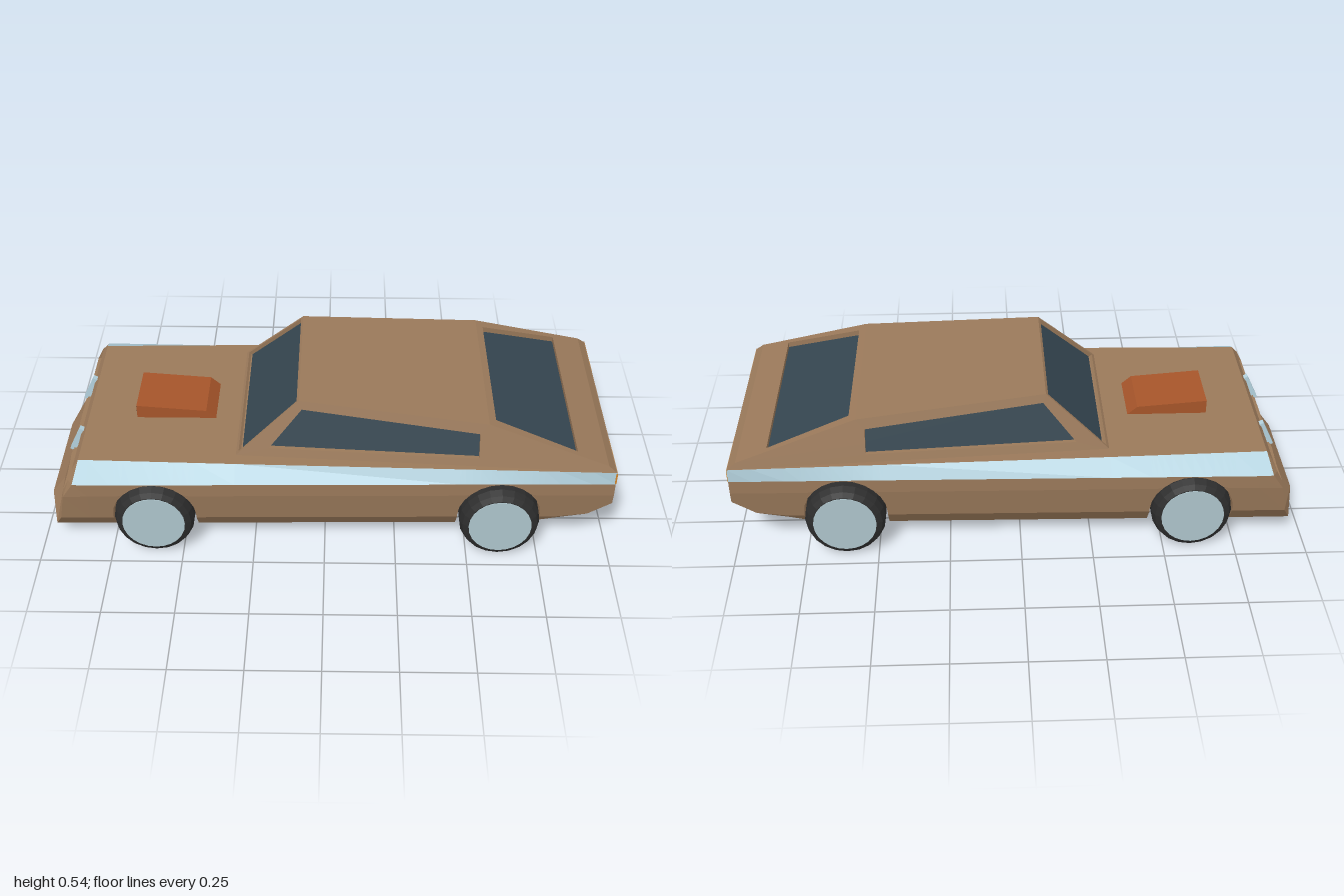
import * as THREE from 'three';

const mat = (name, color, side = THREE.FrontSide) => {
  const m = new THREE.MeshStandardMaterial({ color, side });
  m.name = name;
  return m;
};

// Flat-faced geometry from a list of convex polygons
function polyGeometry(polys) {
  const pos = [];
  for (const p of polys)
    for (let i = 1; i < p.length - 1; i++) pos.push(...p[0], ...p[i], ...p[i + 1]);
  const g = new THREE.BufferGeometry();
  g.setAttribute('position', new THREE.Float32BufferAttribute(pos, 3));
  g.computeVertexNormals();
  return g;
}

const mirror = (pts) => pts.map(([x, y, z]) => [x, y, -z]).reverse();
const lerp = THREE.MathUtils.lerp;

export function createModel() {
  const car = new THREE.Group();
  car.name = 'car';
  const paint = mat('brown paint', 0x9a795a, THREE.DoubleSide);
  const stripe = mat('pale blue stripe', 0xb4d2de, THREE.DoubleSide);
  const glass = mat('dark glass', 0x34454f, THREE.DoubleSide);
  const black = mat('grille black', 0x252525, THREE.DoubleSide);
  const rubber = mat('tyre rubber', 0x2d2d2d);
  const hubPaint = mat('hub grey blue', 0xadc4cb);
  const rust = mat('scoop rust', 0xa6552a);
  const amber = mat('tail light amber', 0xd0852c);

  const add = (name, geometry, material, parent = car) => {
    const m = new THREE.Mesh(geometry, material);
    m.name = name;
    parent.add(m);
    return m;
  };

  // Frame around a recessed pane; both rings run counter-clockwise
  function panel(name, outer, inner, recess, paneMat) {
    const deep = inner.map((p) => p.map((v, k) => v + recess[k]));
    const polys = [];
    outer.forEach((_, i) => {
      const j = (i + 1) % outer.length;
      polys.push([outer[i], outer[j], inner[j], inner[i]]);
      polys.push([inner[i], inner[j], deep[j], deep[i]]);
    });
    add(name + 'Frame', polyGeometry(polys), paint);
    add(name + 'Pane', polyGeometry([deep]), paneMat);
  }

  // ---- Lower body: cross-sections along x, with full-width wheel arches ----
  const wheelX = [-0.595, 0.61], axleY = 0.143, archR = 0.145, floorY = 0.065;
  const widest = (x) => lerp(0.435, 0.4, (x + 0.9) / 1.9);
  const beltZ = (x) => lerp(0.35, 0.4, (x + 0.85) / 1.85);
  const beltY = (x) => (x < -0.31 ? 0.335 : lerp(0.335, 0.34, (x + 0.31) / 1.31));
  const tuck = (y) => (y > 0.24 ? 0 : y > 0.13 ? 0.015 * (0.24 - y) / 0.11 : lerp(0.015, 0.06, (0.13 - y) / 0.065));
  const ring = (half) => [...half, ...mirror(half)];
  const section = (x, bottom) => ring([
    [x, beltY(x), beltZ(x)],
    ...[0.29, 0.24, 0.13, floorY].map((l) => {
      const y = Math.max(l, bottom);
      return [x, y, widest(x) - tuck(y)];
    }),
  ]);
  const noseHalf = [
    [-0.855, 0.335, 0.35], [-0.868, 0.29, 0.432], [-0.905, 0.235, 0.432],
    [-0.925, 0.13, 0.42], [-0.955, floorY, 0.375],
  ];
  const stations = [ring(noseHalf), section(-0.82, floorY)];
  wheelX.forEach((cx, k) => {
    stations.push(section(cx - archR, floorY));
    for (let i = 0; i <= 12; i++) {
      const a = Math.PI * (1 - i / 12);
      stations.push(section(cx + archR * Math.cos(a), axleY + archR * Math.sin(a)));
    }
    stations.push(section(cx + archR, k ? 0.09 : floorY));
    if (!k) stations.push(section(-0.31, floorY));
  });
  stations.push(section(0.81, 0.118), section(0.92, 0.145), section(1, 0.2));

  const bodyPolys = [], stripePolys = [];
  for (let s = 0; s < stations.length - 1; s++) {
    const a = stations[s], b = stations[s + 1];
    for (let j = 0; j < 10; j++) {
      const n = (j + 1) % 10;
      (j === 0 || j === 8 ? stripePolys : bodyPolys).push([a[j], a[n], b[n], b[j]]);
    }
  }
  bodyPolys.push(stations[stations.length - 1]);

  // Front bumper, bowed forward in the middle
  const bumperRows = [[2, -0.915], [3, -0.95], [4, -1]].map(([i, x]) => {
    const e = noseHalf[i];
    return [[e[0], e[1], -e[2]], [x, e[1], -0.2], [x, e[1], 0.2], e];
  });
  for (let r = 0; r < 2; r++)
    for (let c = 0; c < 3; c++)
      bodyPolys.push([bumperRows[r][c], bumperRows[r + 1][c], bumperRows[r + 1][c + 1], bumperRows[r][c + 1]]);
  bodyPolys.push(bumperRows[0], [...bumperRows[2]].reverse());
  add('lowerBody', polyGeometry(bodyPolys), paint);
  add('sideStripes', polyGeometry(stripePolys), stripe);

  // ---- Grille opening with two bright bars ----
  const across = (half) => [...mirror(half), ...half]; // low -z side first
  const grilleOuter = across([[-0.905, 0.235, 0.432], [-0.868, 0.29, 0.432], [-0.855, 0.335, 0.35]].reverse());
  const grilleInner = across([[-0.908, 0.243, 0.4], [-0.886, 0.285, 0.4], [-0.876, 0.307, 0.365]].reverse());
  panel('grille', grilleOuter.reverse(), grilleInner.reverse(), [0.022, 0, 0], black);
  for (const s of [-1, 1]) {
    const bar = add('grilleBar', new THREE.BoxGeometry(0.02, 0.1, 0.022), stripe);
    bar.position.set(-0.893, 0.278, s * 0.155);
    bar.rotation.z = -0.45;
  }

  // ---- Cabin: each side lies in one sloping plane ----
  const side = (x, y) => [x, y, 0.315 + 0.065 * (x + 0.31) - 0.32 * (y - 0.335)];
  const flip = ([x, y, z]) => [x, y, -z];
  const base = side(-0.31, 0.335), roofFront = side(-0.09, 0.535);
  const roofRear = side(0.56, 0.485), deck = side(0.97, 0.362), tail = side(1, 0.338);
  const sideOuter = [base, tail, deck, roofRear, roofFront];
  const sideInner = [[-0.195, 0.365], [0.53, 0.365], [0.53, 0.4], [0.53, 0.45], [-0.08, 0.505]].map((p) => side(...p));
  panel('leftWindow', sideOuter, sideInner, [0, 0, -0.015], glass);
  panel('rightWindow', mirror(sideOuter), mirror(sideInner), [0, 0, 0.015], glass);

  const front = [-0.301, 0.343, 0.302], frontTop = [-0.098, 0.528, 0.257];
  panel('windshield', [flip(base), base, roofFront, flip(roofFront)],
    [flip(front), front, frontTop, flip(frontTop)], [0.01, -0.01, 0], glass);

  const rear = [0.865, 0.3935, 0.35], rearTop = [0.585, 0.4775, 0.288];
  panel('rearWindow', [deck, flip(deck), flip(roofRear), roofRear],
    [rear, flip(rear), flip(rearTop), rearTop], [0, -0.02, 0], glass);

  add('roof', polyGeometry([
    [roofFront, roofRear, flip(roofRear), flip(roofFront)],
    [deck, tail, flip(tail), flip(deck)],
  ]), paint);

  // ---- Tail lights ----
  for (const s of [-1, 1])
    add('tailLight', new THREE.BoxGeometry(0.006, 0.045, 0.2), amber).position.set(0.999, 0.313, s * 0.3);

  // ---- Hood scoop ----
  const scoopShape = new THREE.Shape([[-0.68, 0.33], [-0.39, 0.33], [-0.43, 0.366], [-0.68, 0.386]]
    .map((p) => new THREE.Vector2(...p)));
  const scoop = new THREE.ExtrudeGeometry(scoopShape, { depth: 0.208, bevelEnabled: false });
  scoop.translate(0, 0, -0.104);
  add('hoodScoop', scoop, rust);
  add('scoopIntake', new THREE.BoxGeometry(0.004, 0.03, 0.18), black).position.set(-0.681, 0.359, 0);

  // ---- Wheels ----
  const tyreProfile = [[0, 0], [0.112, 0], [0.13, 0.012], [0.14, 0.035], [0.14, 0.118], [0.13, 0.142], [0.112, 0.152], [0, 0.152]];
  const tyre = new THREE.LatheGeometry(tyreProfile.map((p) => new THREE.Vector2(...p)), 20).toNonIndexed();
  tyre.computeVertexNormals();
  const hub = new THREE.CylinderGeometry(0.109, 0.109, 0.006, 24);
  for (const x of wheelX)
    for (const s of [-1, 1]) {
      const wheel = new THREE.Group();
      wheel.name = (x < 0 ? 'front' : 'rear') + 'Wheel';
      add('tyre', tyre, rubber, wheel);
      add('hubDisc', hub, hubPaint, wheel).position.y = 0.152;
      wheel.rotation.x = s * Math.PI / 2;
      wheel.position.set(x, 0.14, s * 0.303);
      car.add(wheel);
    }
  return car;
}
